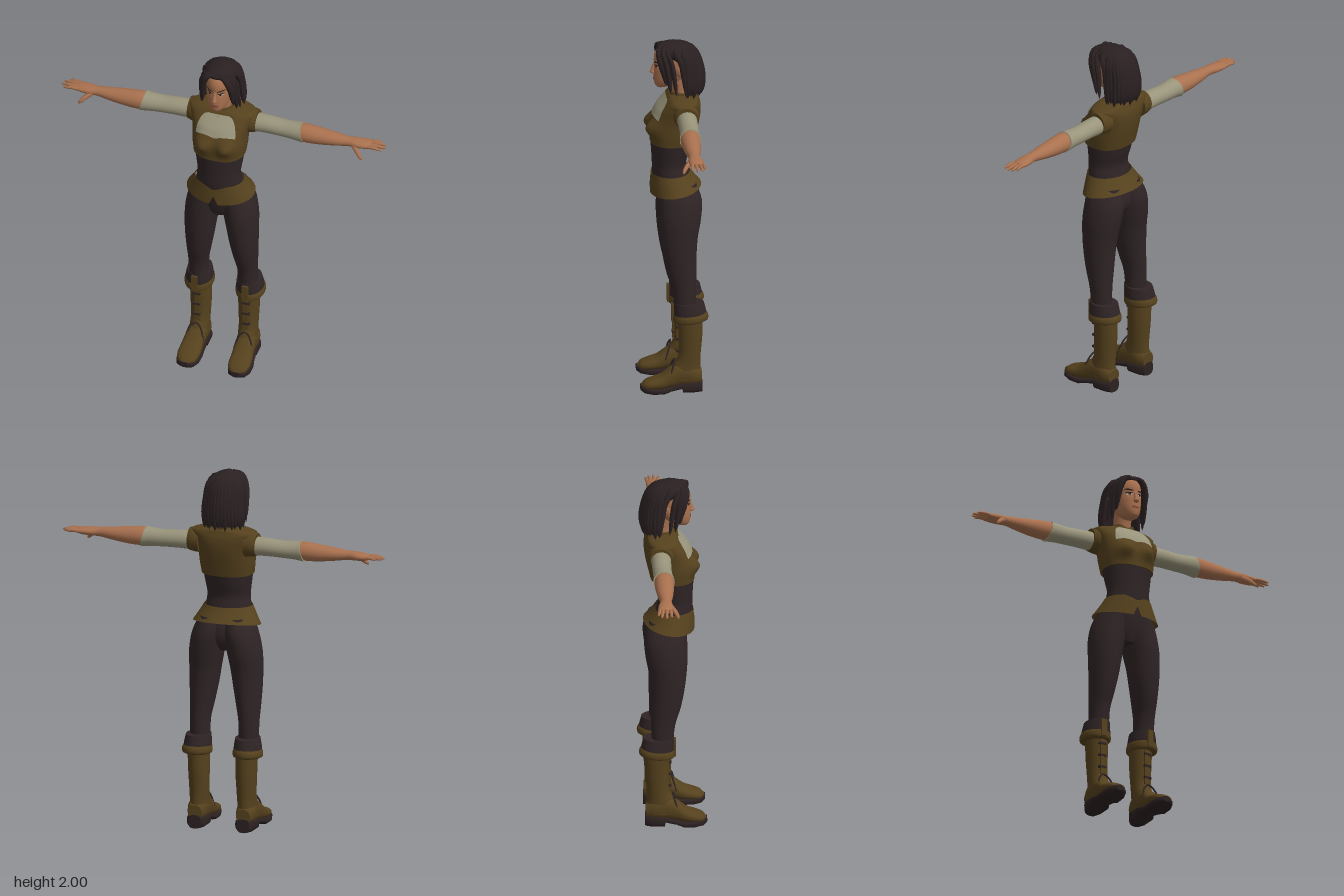
import * as THREE from 'three';

const TAU = Math.PI * 2;
const mat = (name, color, side = THREE.FrontSide) => {
  const m = new THREE.MeshStandardMaterial({ color, side });
  m.name = name;
  return m;
};

// Section = [y, centreX, radiusX, zBack, zFront]; smooth interpolation between sections
function at(S, y) {
  let i = 0;
  while (i < S.length - 2 && y > S[i + 1][0]) i++;
  const a = S[i], b = S[i + 1], h = b[0] - a[0], u = (y - a[0]) / h;
  const slope = (k, j) => {
    const p = S[Math.max(k - 1, 0)], n = S[Math.min(k + 1, S.length - 1)];
    return (n[j] - p[j]) / (n[0] - p[0]);
  };
  return a.map((_, j) => a[j] * (2 * u ** 3 - 3 * u * u + 1) + b[j] * (3 * u * u - 2 * u ** 3)
    + h * slope(i, j) * (u ** 3 - 2 * u * u + u) + h * slope(i + 1, j) * (u ** 3 - u * u));
}

// Skin over rising sections; e < 1 squares the outline
function loft(S, { segs = 32, steps = 4, e = 1, t0 = 0, t1 = TAU, caps = true, deform } = {}) {
  const ys = [];
  S.forEach((s, i) => {
    if (i) for (let k = 1; k <= steps; k++) ys.push(S[i - 1][0] + (s[0] - S[i - 1][0]) * k / steps);
    else ys.push(s[0]);
  });
  const full = t1 - t0 > 6.28, n = full ? segs : segs + 1, P = [], idx = [];
  const pw = v => Math.sign(v) * Math.abs(v) ** e;
  const p = new THREE.Vector3();
  ys.forEach((y, r) => {
    const [, cx, rx, zb, zf] = steps === 1 ? S[r] : at(S, y);
    for (let k = 0; k < n; k++) {
      const t = t0 + (t1 - t0) * k / segs;
      p.set(cx + rx * pw(Math.sin(t)), y, (zb + zf) / 2 + (zf - zb) / 2 * pw(Math.cos(t)));
      if (deform) deform(p, r / (ys.length - 1), k);
      P.push(p.x, p.y, p.z);
    }
  });
  for (let r = 0; r < ys.length - 1; r++) for (let k = 0; k < segs; k++) {
    const a = r * n + k, b = r * n + (k + 1) % n;
    idx.push(a, b, b + n, a, b + n, a + n);
  }
  if (caps && full) for (const top of [false, true]) {
    const from = top ? (ys.length - 1) * n : 0, base = P.length / 3, c = [0, 0, 0];
    for (let k = 0; k < n * 3; k++) { P.push(P[from * 3 + k]); c[k % 3] += P[from * 3 + k] / n; }
    P.push(...c);
    for (let k = 0; k < n; k++) {
      const a = base + k, b = base + (k + 1) % n;
      idx.push(base + n, ...(top ? [a, b] : [b, a]));
    }
  }
  const g = new THREE.BufferGeometry();
  g.setAttribute('position', new THREE.Float32BufferAttribute(P, 3));
  g.setIndex(idx);
  g.computeVertexNormals();
  return g;
}

// Tube whose radius follows f(u)
function taper(points, radius, f, segs = 14) {
  const curve = new THREE.CatmullRomCurve3(points.map(p => new THREE.Vector3(...p)));
  const g = new THREE.TubeGeometry(curve, segs, radius, 8), pos = g.attributes.position, v = new THREE.Vector3();
  for (let i = 0; i < pos.count; i++) {
    const u = Math.floor(i / 9) / segs, c = curve.getPointAt(u);
    v.fromBufferAttribute(pos, i).sub(c).multiplyScalar(f(u)).add(c);
    pos.setXYZ(i, v.x, v.y, v.z);
  }
  g.computeVertexNormals();
  return g;
}

function mirror(geo) {
  const g = geo.clone().scale(-1, 1, 1), a = g.index.array;
  for (let i = 0; i < a.length; i += 3) [a[i], a[i + 1]] = [a[i + 1], a[i]];
  return g;
}

// Front depth of a lofted surface at x, y
function frontZ(S, x, y, e = 1) {
  const [, cx, rx, zb, zf] = at(S, y);
  const s = Math.min(0.99, Math.abs(x - cx) / rx) ** (1 / e);
  return (zb + zf) / 2 + (zf - zb) / 2 * Math.sqrt(1 - s * s) ** e;
}

function remap(g, fn) {
  const pos = g.attributes.position;
  for (let i = 0; i < pos.count; i++) pos.setXYZ(i, ...fn(pos.getX(i), pos.getY(i)));
  g.computeVertexNormals();
  return g;
}

export function createModel() {
  const model = new THREE.Group();
  model.name = 'adventurer';
  const D = THREE.DoubleSide;
  const leather = mat('brown leather', 0x55411d, D), dark = mat('dark cloth', 0x2f2425, D);
  const skin = mat('skin', 0xa9714f), linen = mat('linen', 0x99947b, D), hair = mat('hair', 0x2a2021, D);
  const sole = mat('boot sole', 0x2c2121), lips = mat('lips', 0x874a3c, D);
  const eyeWhite = mat('eye white', 0xb5a596, D);
  const add = (name, geo, m) => {
    const mesh = new THREE.Mesh(geo, m);
    mesh.name = name;
    model.add(mesh);
  };
  const pair = (name, geo, m) => { add(name + 'Left', geo, m); add(name + 'Right', mirror(geo), m); };

  // Trousers
  pair('trouserLeg', loft([[0.47, .14, .055, -.115, 0], [0.6, .14, .056, -.118, .015], [0.7, .133, .067, -.12, .045],
    [0.8, .126, .079, -.122, .065], [0.9, .119, .088, -.13, .077], [1.0, .108, .096, -.148, .083],
    [1.1, .09, .094, -.153, .08], [1.19, .07, .075, -.125, .08]]), dark);
  add('pelvis', loft([[1.0, 0, .06, -.08, .05], [1.06, 0, .13, -.12, .07], [1.14, 0, .15, -.12, .085], [1.22, 0, .13, -.09, .09]]), dark);

  // Corset and flared hip band with a front slit
  add('corset', loft([[1.2, 0, .13, -.09, .108], [1.25, 0, .126, -.082, .112], [1.3, 0, .121, -.075, .113],
    [1.37, 0, .13, -.095, .117], [1.44, 0, .14, -.112, .122]]), dark);
  add('hipBand', loft([[1.145, 0, .192, -.156, .125], [1.2, 0, .16, -.12, .122], [1.245, 0, .135, -.095, .119]], {
    segs: 48, caps: false, deform: (p, v, k) => {
      p.y -= (1 - v) * p.z * .15;
      if (k === 0) p.y += (1 - v) ** 2 * .055;
      if (p.z > 0) p.y -= v * .025 * Math.max(0, 1 - Math.abs(p.x) / .07);
    },
  }), leather);

  // Vest, chest panel and collar
  const vest = [[1.425, 0, .143, -.117, .124], [1.48, 0, .15, -.13, .122], [1.55, 0, .154, -.146, .113],
    [1.61, 0, .165, -.153, .088], [1.65, 0, .18, -.15, .055], [1.675, 0, .183, -.142, .033],
    [1.69, 0, .135, -.137, .022], [1.7, 0, .07, -.125, .01]];
  const bust = (x, y) => .042 * Math.exp(-(((Math.abs(x) - .07) / .05) ** 2) - ((y - 1.515) / .045) ** 2);
  add('vest', loft(vest, { segs: 56, e: .85, deform: p => { if (p.z > 0) p.z += bust(p.x, p.y); } }), leather);
  add('chestPanel', remap(new THREE.PlaneGeometry(2, 1, 24, 14), (u, h) => {
    const v = h + .5, x = u * (.058 + .055 * Math.sqrt(1 - v * v));
    const y = 1.572 + .01 * Math.abs(Math.sin(u * 3)) * (1 - v) + v * .108;
    return [x, y, frontZ(vest, x, y, .85) + bust(x, y) + .006];
  }), linen);
  add('collar', loft([[1.672, 0, .09, -.142, .042], [1.69, 0, .074, -.135, .025], [1.715, 0, .068, -.128, .016]], {
    caps: false, deform: (p, v) => { if (p.z > 0) p.y -= v * .02 * Math.max(0, 1 - Math.abs(p.x) / .04); },
  }), leather);

  // Arms, built along y and turned outward: [x, -height, half height, zBack, zFront]
  const arm = (S, o) => loft(S, o).rotateZ(-Math.PI / 2);
  pair('shoulderCap', arm([[.13, -1.61, .07, -.135, .01], [.17, -1.612, .068, -.132, .005], [.195, -1.612, .062, -.125, -.005]]), leather);
  pair('sleeve', arm([[.15, -1.603, .053, -.12, -.01], [.25, -1.604, .05, -.118, -.012], [.35, -1.6, .048, -.116, -.012],
    [.42, -1.6, .052, -.116, -.006], [.46, -1.598, .057, -.12, -.002]], {
    deform: (p, v) => { if (v > .8) p.y += (p.x + 1.6) * .25 * (v - .8) / .2; },
  }), linen);
  pair('forearm', arm([[.4, -1.6, .045, -.11, -.01], [.47, -1.599, .052, -.113, -.006], [.55, -1.597, .047, -.11, -.01],
    [.65, -1.598, .035, -.1, -.02], [.72, -1.6, .026, -.09, -.03], [.77, -1.6, .024, -.103, -.024],
    [.82, -1.6, .019, -.107, -.028], [.845, -1.601, .012, -.102, -.035]]), skin);
  const round = u => Math.sqrt(Math.max(0, 1 - u ** 6)) * (1 - .25 * u);
  [[-.096, .895, -.108], [-.078, .922, -.09], [-.058, .932, -.064], [-.041, .915, -.036]].forEach(([z, x, tip], i) =>
    pair('finger' + (i + 1), taper([[.82, 1.6, z], [.865, 1.604, (z + tip) / 2], [x, 1.598, tip]], .011, round), skin));
  pair('thumb', taper([[.745, 1.595, -.045], [.78, 1.572, -.015], [.8, 1.553, 0], [.815, 1.54, .006]], .015, round), skin);

  // Neck and head
  add('neck', loft([[1.65, 0, .055, -.11, .0], [1.71, 0, .048, -.1, .0], [1.79, 0, .048, -.09, .02]]), skin);
  const head = [[1.735, 0, .018, .04, .085], [1.75, 0, .04, -.01, .096], [1.78, 0, .058, -.06, .102], [1.82, 0, .069, -.1, .103],
    [1.87, 0, .075, -.12, .101], [1.92, 0, .074, -.12, .1], [1.96, 0, .055, -.095, .078], [1.985, 0, .015, -.04, .02]];
  add('head', loft(head, { segs: 40, deform: p => {
    if (p.z > 0) p.z -= .008 * Math.exp(-(((Math.abs(p.x) - .032) / .018) ** 2) - ((p.y - 1.868) / .014) ** 2);
  } }), skin);
  add('nose', loft([[1.812, 0, .008, .09, .108], [1.82, 0, .015, .09, .123], [1.835, 0, .011, .09, .12],
    [1.86, 0, .008, .085, .11], [1.885, 0, .008, .08, .1]], { segs: 16 }), skin);
  pair('ear', new THREE.SphereGeometry(.03, 14, 10).scale(.4, 1.1, .65).rotateZ(-.25).translate(.083, 1.845, -.03), skin);
  const onFace = (w, h, cx, cy, off, tilt = 0) => remap(new THREE.CircleGeometry(1, 20), (x, y) => {
    const px = cx + x * w, py = cy + y * h + x * tilt;
    return [px, py, frontZ(head, px, py) + off];
  });
  pair('eye', onFace(.015, .006, .032, 1.863, -.001), eyeWhite);
  pair('iris', onFace(.006, .006, .031, 1.863, .001), hair);
  pair('eyelid', onFace(.018, .003, .033, 1.87, .002, .002), hair);
  pair('eyebrow', onFace(.021, .004, .034, 1.888, .003, .005), hair);
  add('mouth', onFace(.023, .007, 0, 1.785, .003), lips);

  // Bobbed hair: crown, back shell and overlapping locks
  add('hairCrown', loft([[1.9, 0, .085, -.13, .02], [1.935, 0, .093, -.132, .066], [1.965, 0, .08, -.115, .088],
    [1.985, 0, .055, -.08, .065], [1.997, 0, .012, -.02, .015]]), hair);
  add('hairBack', loft([[1.715, 0, .108, -.16, .05], [1.76, 0, .109, -.165, .05], [1.85, 0, .1, -.152, .05], [1.94, 0, .088, -.125, .045]],
    { t0: 1.72, t1: TAU - 1.72, caps: false }), hair);
  const lockShape = u => Math.sqrt(Math.max(0, Math.sin(Math.PI * (.08 + .92 * u))));
  for (let i = 0; i < 17; i++) {
    const a = 1.78 + (TAU - 3.56) * i / 16, s = Math.sin(a), c = Math.cos(a), wob = Math.sin(i * 2.4);
    add('hairLock' + (i + 1), taper([[s * .02, 1.982, -.02 + c * .03], [s * .082, 1.942, -.04 + c * .075], [s * .1, 1.85, -.052 + c * .1],
      [s * .113, 1.76, -.055 + c * .11], [s * .112, 1.7 + wob * .012, -.055 + c * .1]], .021, lockShape), hair);
  }
  [[.052, .078, .088, .06, 1.77], [.062, .088, .1, .035, 1.73], [.07, .094, .11, .005, 1.715], [.08, .095, .115, -.05, 1.7]].forEach(([x1, x2, x3, z, y], i) =>
    pair('frontLock' + (i + 1), taper([[.004, 1.98, .06 - i * .025], [x1, 1.957, z * .8 + .03], [x2, 1.9, z + .008],
      [x2 + .006, 1.83, z - (i > 0 ? .005 : .01)], [x3, y, z - .02]], i === 2 ? .015 : .019, lockShape), hair));

  // Boots: shaft, folded cuff, foot, sole and fastenings
  pair('bootShaft', loft([[.08, .14, .055, -.145, .03], [.13, .138, .053, -.143, .02], [.2, .137, .053, -.142, -.015],
    [.32, .137, .058, -.152, -.018], [.44, .139, .06, -.155, -.012]]), leather);
  pair('bootCuff', loft([[.445, .145, .077, -.178, .007], [.48, .144, .074, -.17, .008], [.522, .142, .067, -.16, .008]]), dark);
  pair('cuffTrim', loft([[.412, .144, .066, -.165, .002], [.42, .146, .079, -.182, .01], [.445, .146, .081, -.182, .011],
    [.46, .145, .076, -.174, .008]], { deform: p => { p.y -= p.z * .08 + .006; } }), leather);
  // Along z: [z, x, half width, -top, -bottom]
  const foot = (S, o) => loft(S, o).rotateX(Math.PI / 2);
  pair('bootFoot', foot([[-.147, .14, .04, -.13, -.05], [-.1, .14, .055, -.16, -.04], [-.03, .14, .055, -.17, -.035],
    [.02, .142, .056, -.145, -.03], [.07, .145, .06, -.105, -.025], [.12, .146, .06, -.085, -.025],
    [.16, .146, .047, -.07, -.025], [.182, .146, .018, -.05, -.03]], { e: .85 }), leather);
  pair('bootSole', foot([[-.15, .14, .036, -.075, 0], [-.12, .14, .055, -.075, 0], [-.045, .14, .057, -.068, 0],
    [-.04, .14, .057, -.065, -.025], [.02, .143, .059, -.045, -.015], [.06, .146, .064, -.04, 0], [.12, .147, .064, -.042, 0],
    [.165, .147, .05, -.048, -.006], [.187, .147, .02, -.05, -.018]], { steps: 1, e: .65 }), sole);
  pair('cuffTab', new THREE.BoxGeometry(.034, .1, .012).translate(.145, .465, .012), leather);
  pair('bootTongue', new THREE.BoxGeometry(.03, .22, .01).translate(.138, .31, -.016), leather);
  for (const y of [.24, .31, .38])
    pair('bootBuckle', new THREE.BoxGeometry(.042, .012, .016).translate(.142, y, -.016), dark);
  pair('ankleSeam', taper([[.088, .09, .03], [.11, .165, .008], [.14, .19, .0], [.17, .165, .008], [.193, .09, .03]], .005, () => 1), dark);

  // Centre the figure in depth
  return model;
}
